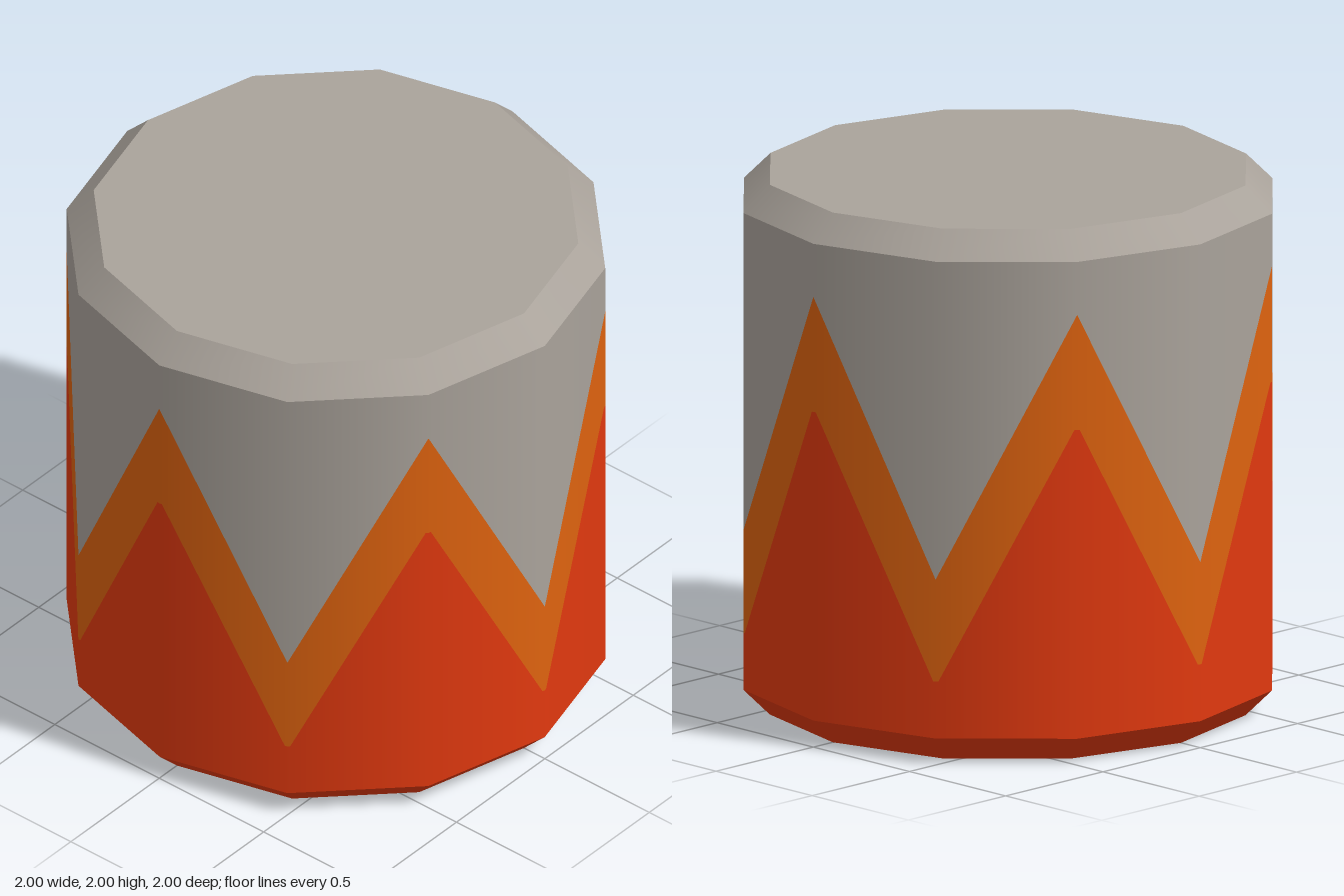
import * as THREE from 'three';

const SIDES = 12;
const STEP = (Math.PI * 2) / SIDES;
// Columns within each facet; the narrow end columns blunt the inner zigzag
const COLUMNS = [0, 0.02, 0.98, 1];

function material(name, color) {
  const m = new THREE.MeshStandardMaterial({ color });
  m.name = name;
  return m;
}

// Band around the drum wall between two height rules, each a function of
// s: 0 at a peak corner, 1 at a valley corner
function wallBand(lower, upper) {
  const positions = [], normals = [], indices = [];
  for (let k = 0; k < SIDES; k++) {
    const a = k * STEP, b = a + STEP;
    COLUMNS.forEach((t, i) => {
      const x = THREE.MathUtils.lerp(Math.sin(a), Math.sin(b), t);
      const z = THREE.MathUtils.lerp(Math.cos(a), Math.cos(b), t);
      const s = k % 2 ? 1 - t : t;
      const r = Math.hypot(x, z);
      const base = positions.length / 3;
      positions.push(x, lower(s), z, x, upper(s), z);
      normals.push(x / r, 0, z / r, x / r, 0, z / r);
      if (i < COLUMNS.length - 1) {
        indices.push(base, base + 2, base + 1, base + 1, base + 2, base + 3);
      }
    });
  }
  const g = new THREE.BufferGeometry();
  g.setAttribute('position', new THREE.Float32BufferAttribute(positions, 3));
  g.setAttribute('normal', new THREE.Float32BufferAttribute(normals, 3));
  g.setIndex(indices);
  return g;
}

export function createModel() {
  const group = new THREE.Group();
  group.name = 'zigzagDrum';
  const grey = material('warm grey', 0xaaa39b);
  const orange = material('orange', 0xdf630f);
  const red = material('red', 0xe2390f);

  const add = (name, geometry, mat, y = 0) => {
    const mesh = new THREE.Mesh(geometry, mat);
    mesh.name = name;
    mesh.position.y = y;
    group.add(mesh);
    return mesh;
  };

  // Wall: red base, orange zigzag, grey upper part
  const bottomRim = () => 0.1;
  const topRim = () => 1.9;
  const outerZigzag = (s) => 1.7 - s;
  const innerZigzag = (s) =>
    1.265 - 0.95 * THREE.MathUtils.clamp((s - 0.02) / 0.96, 0, 1);
  add('lowerWall', wallBand(bottomRim, innerZigzag), red);
  add('zigzagStripe', wallBand(innerZigzag, outerZigzag), orange);
  add('upperWall', wallBand(outerZigzag, topRim), grey);

  // Bevelled rims
  add('topBevel', new THREE.CylinderGeometry(0.9, 1, 0.1, SIDES, 1, true), grey, 1.95);
  add('bottomBevel', new THREE.CylinderGeometry(1, 0.9, 0.1, SIDES, 1, true), red, 0.05);

  // Flat ends
  add('topFace', new THREE.CircleGeometry(0.9, SIDES).rotateX(-Math.PI / 2), grey, 2);
  add('bottomFace', new THREE.CircleGeometry(0.9, SIDES).rotateX(Math.PI / 2), red, 0);

  return group;
}
